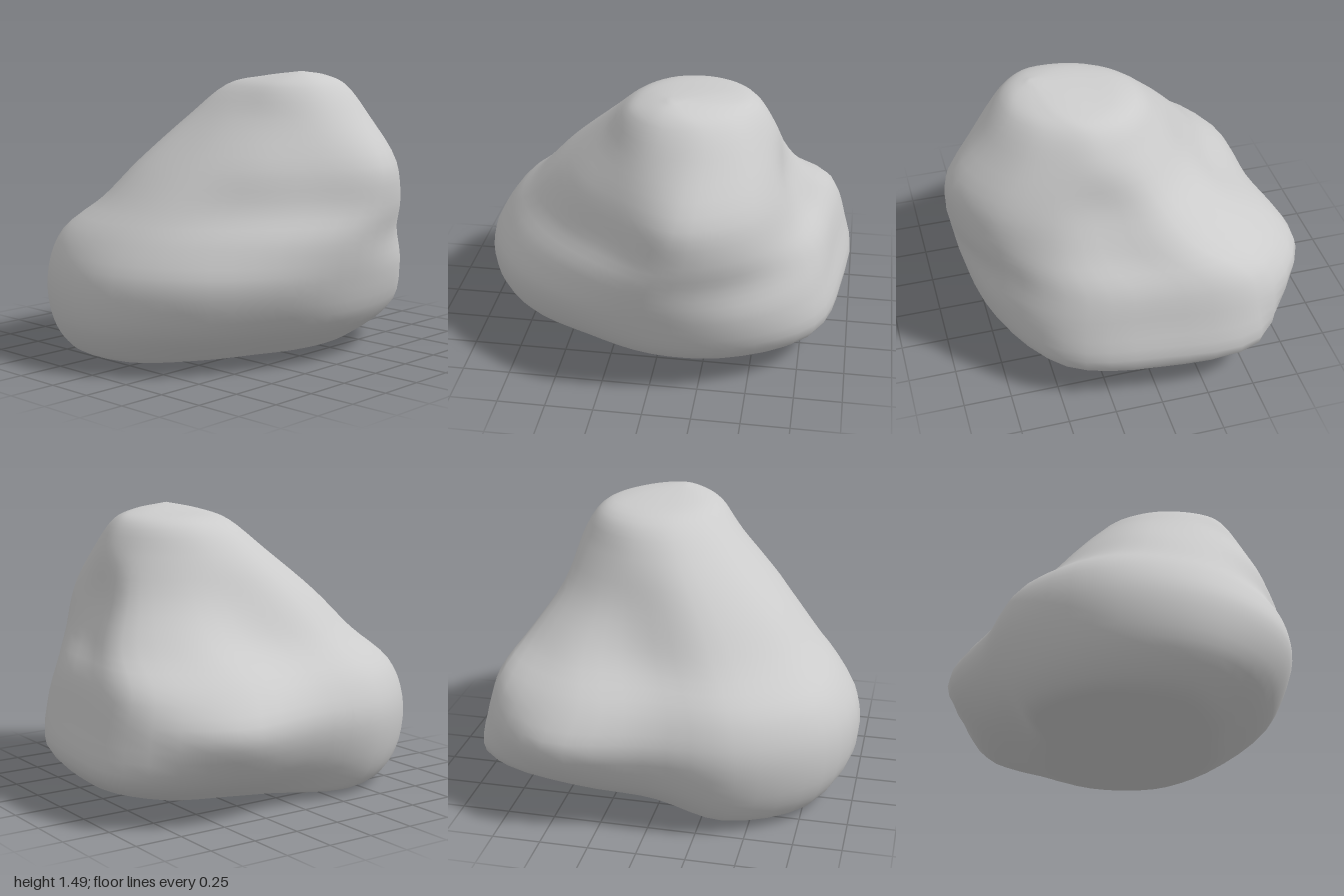
import * as THREE from 'three';

// Horizontal cross-sections, bottom to top: height, centre (x, z) and
// twelve radii every 30 degrees, starting at +x and turning towards +z.
const SECTIONS = [
  { y: 0.015, c: [0, 0], r: [0.64, 0.63, 0.51, 0.42, 0.4, 0.5, 0.74, 0.83, 0.71, 0.46, 0.42, 0.52] },
  { y: 0.08, c: [0, 0], r: [0.8, 0.77, 0.66, 0.57, 0.54, 0.66, 0.87, 0.92, 0.81, 0.59, 0.62, 0.77] },
  { y: 0.23, c: [0, 0], r: [0.95, 0.95, 0.84, 0.77, 0.74, 0.85, 0.98, 0.99, 0.89, 0.75, 0.88, 1.08] },
  { y: 0.46, c: [0, 0], r: [0.91, 0.94, 0.91, 0.86, 0.85, 0.92, 0.99, 1.0, 0.92, 0.83, 1.03, 1.06] },
  { y: 0.65, c: [0, 0], r: [0.86, 0.89, 0.9, 0.9, 0.83, 0.84, 0.89, 0.92, 0.84, 0.74, 0.89, 0.99] },
  { y: 0.82, c: [0.1, 0.15], r: [0.63, 0.67, 0.74, 0.77, 0.68, 0.71, 0.82, 0.88, 0.81, 0.67, 0.75, 0.76] },
  { y: 1.02, c: [0.15, 0.2], r: [0.48, 0.54, 0.64, 0.71, 0.62, 0.64, 0.69, 0.75, 0.69, 0.56, 0.55, 0.55] },
  { y: 1.25, c: [0.2, 0.22], r: [0.38, 0.39, 0.45, 0.51, 0.52, 0.51, 0.52, 0.53, 0.5, 0.43, 0.39, 0.38] },
  { y: 1.41, c: [0.2, 0.24], r: [0.28, 0.28, 0.31, 0.36, 0.4, 0.4, 0.36, 0.34, 0.33, 0.31, 0.29, 0.28] },
  { y: 1.46, c: [0.12, 0.36], r: [0.22, 0.18, 0.17, 0.18, 0.19, 0.19, 0.18, 0.18, 0.18, 0.18, 0.2, 0.23] },
];
const BASE = new THREE.Vector3(0, 0.02, 0);
const SUMMIT = new THREE.Vector3(0.07, 1.49, 0.44);
const AROUND = 48;
const ROWS = 44;

// Closed smooth outline of one cross-section
function ring({ y, c, r }) {
  const points = r.map((radius, i) => {
    const a = (i / r.length) * Math.PI * 2;
    return new THREE.Vector3(c[0] + radius * Math.cos(a), y, c[1] + radius * Math.sin(a));
  });
  const curve = new THREE.CatmullRomCurve3(points, true);
  return Array.from({ length: AROUND }, (_, i) => curve.getPoint(i / AROUND));
}

// Skin the outlines with smooth curves running from the base to the summit
function boulderGeometry() {
  const rings = SECTIONS.map(ring);
  const positions = [];
  for (let i = 0; i < AROUND; i++) {
    const rib = new THREE.CatmullRomCurve3([BASE, ...rings.map((p) => p[i]), SUMMIT]);
    for (let j = 0; j <= ROWS; j++) {
      const p = rib.getPoint(j / ROWS);
      positions.push(p.x, Math.max(0, p.y), p.z);
    }
  }

  // All ribs share one vertex at each pole
  const at = (i, j) => (j === 0 || j === ROWS ? j : (i % AROUND) * (ROWS + 1) + j);
  const index = [];
  for (let i = 0; i < AROUND; i++) {
    for (let j = 0; j < ROWS; j++) {
      const a = at(i, j), b = at(i + 1, j), c = at(i, j + 1), d = at(i + 1, j + 1);
      if (j < ROWS - 1) index.push(a, c, d);
      else index.push(a, c, b);
      if (j > 0 && j < ROWS - 1) index.push(a, d, b);
    }
  }
  const geometry = new THREE.BufferGeometry();
  geometry.setAttribute('position', new THREE.Float32BufferAttribute(positions, 3));
  geometry.setIndex(index);
  geometry.computeVertexNormals();
  return geometry;
}

export function createModel() {
  const model = new THREE.Group();
  model.name = 'rock';
  const boulder = new THREE.Mesh(
    boulderGeometry(),
    new THREE.MeshStandardMaterial({ color: 0xcccccc })
  );
  boulder.name = 'boulder';
  model.add(boulder);
  return model;
}
